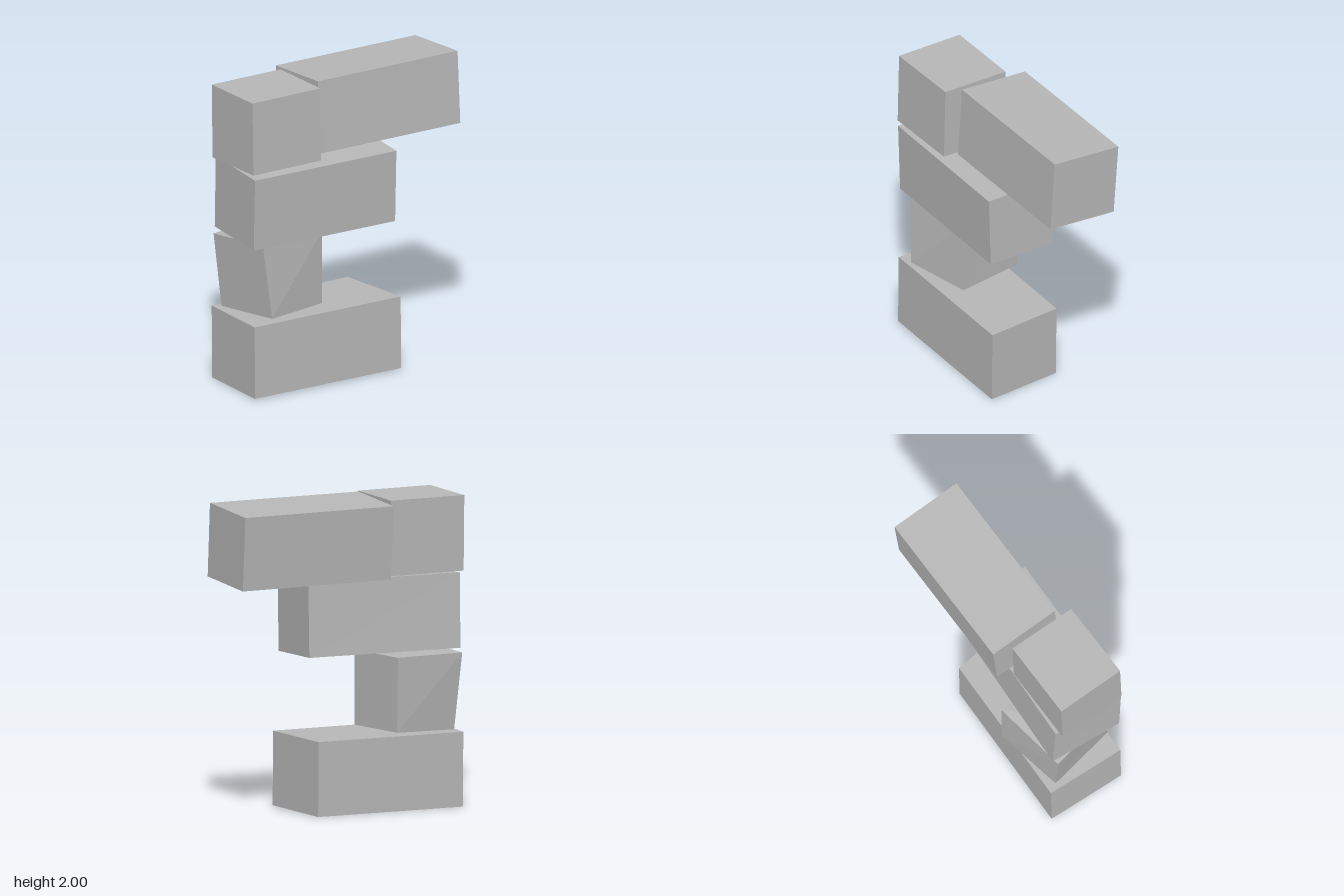
import * as THREE from 'three';

const stone = new THREE.MeshStandardMaterial({ color: 0xb8b8b8 });
stone.name = 'stoneGrey';

// A box whose eight corners are moved; each ring runs
// front left, front right, back right, back left as seen from the front.
function block(name, bottom, top) {
  let geo = new THREE.BoxGeometry(1, 1, 1);
  const p = geo.attributes.position;
  for (let i = 0; i < p.count; i++) {
    const ring = p.getY(i) > 0 ? top : bottom;
    const right = p.getX(i) > 0;
    const k = p.getZ(i) > 0 ? (right ? 1 : 0) : (right ? 2 : 3);
    p.setXYZ(i, ...ring[k]);
  }
  geo = geo.toNonIndexed();
  geo.computeVertexNormals();
  const mesh = new THREE.Mesh(geo, stone);
  mesh.name = name;
  return mesh;
}

export function createModel() {
  const group = new THREE.Group();
  group.name = 'stackedBlocks';

  // Long base block
  group.add(block('baseBlock',
    [[-0.80, 0.012, 0.31], [0.30, 0.012, 0.31], [0.24, 0, -0.21], [-0.785, 0, -0.215]],
    [[-0.80, 0.49, 0.305], [0.30, 0.49, 0.305], [0.24, 0.48, -0.215], [-0.785, 0.48, -0.22]]));

  // Short twisted block
  group.add(block('twistedBlock',
    [[-0.665, 0.52, 0.30], [-0.22, 0.51, 0.19], [-0.295, 0.51, -0.26], [-0.75, 0.49, -0.16]],
    [[-0.715, 1.01, 0.27], [-0.22, 0.99, 0.19], [-0.30, 0.99, -0.262], [-0.80, 0.98, -0.175]]));

  // Long middle block
  group.add(block('middleBlock',
    [[-0.80, 1.0, 0.295], [0.265, 1.0, 0.295], [0.28, 1.015, -0.165], [-0.775, 1.015, -0.20]],
    [[-0.80, 1.475, 0.31], [0.265, 1.475, 0.31], [0.28, 1.495, -0.15], [-0.78, 1.495, -0.18]]));

  // Short top block
  group.add(block('shortTopBlock',
    [[-0.81, 1.51, 0.307], [-0.29, 1.51, 0.292], [-0.295, 1.50, -0.165], [-0.82, 1.50, -0.155]],
    [[-0.81, 1.99, 0.296], [-0.29, 1.99, 0.281], [-0.295, 1.985, -0.175], [-0.82, 1.985, -0.165]]));

  // Long top block leaning back
  group.add(block('longTopBlock',
    [[-0.245, 1.525, 0.215], [0.817, 1.525, 0.20], [0.81, 1.49, -0.28], [-0.25, 1.495, -0.262]],
    [[-0.245, 2.0, 0.185], [0.817, 2.0, 0.168], [0.81, 1.965, -0.315], [-0.253, 1.968, -0.295]]));

  return group;
}
